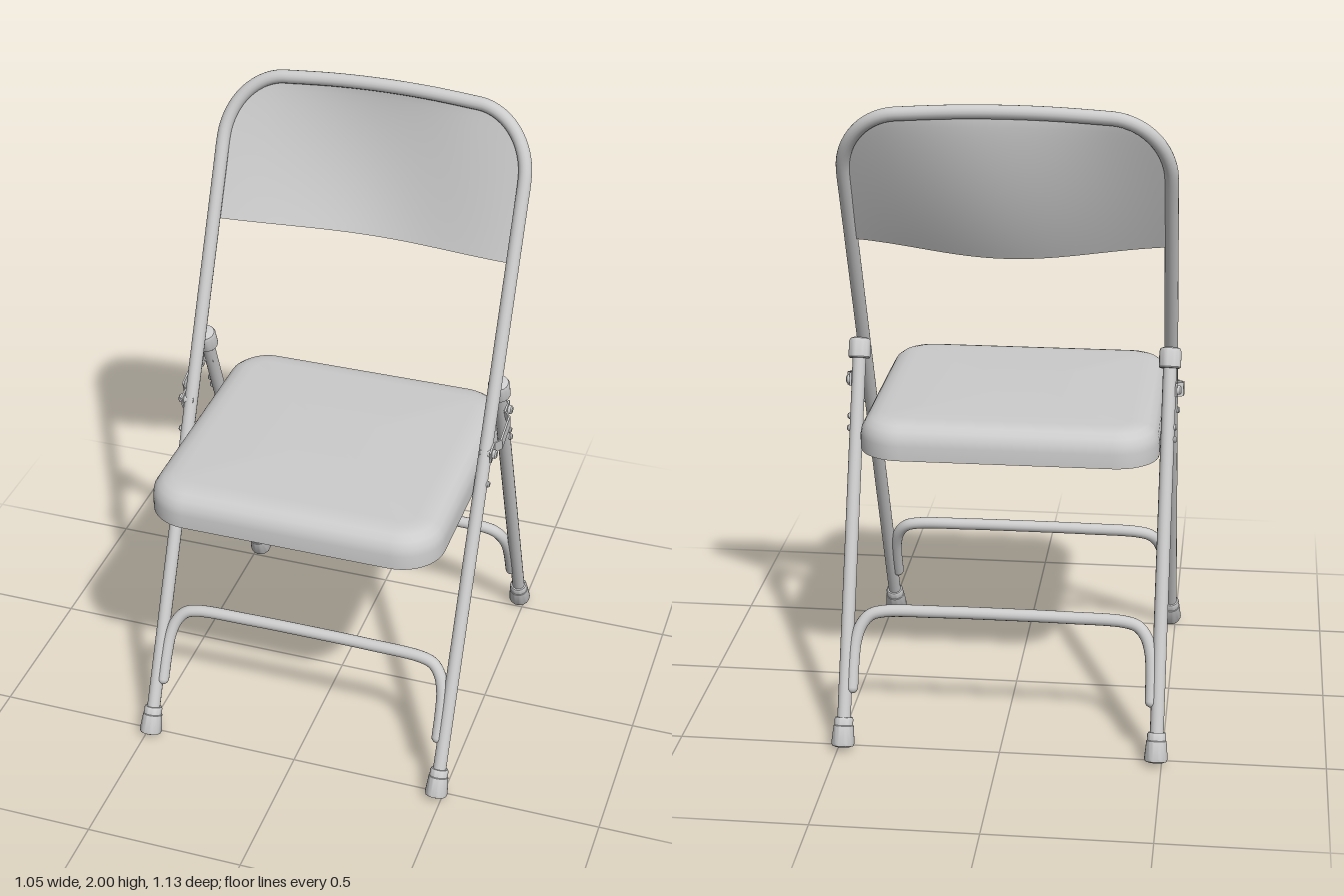
import * as THREE from 'three';
import { toCreasedNormals } from 'three/addons/utils/BufferGeometryUtils.js';

const V = (x, y, z) => new THREE.Vector3(x, y, z);
const material = new THREE.MeshStandardMaterial({ color: 0xcccccc });
const sheetMaterial = new THREE.MeshStandardMaterial({ color: 0xcccccc, side: THREE.DoubleSide });

const LEG_X = 0.483, TUBE = 0.021;
// Slanted leg lines in side profile: z for a given height
const frontZ = (y) => 0.53 - 0.4658 * (y - 0.02);
const backZ = (y) => -0.532 + 0.396 * (y - 0.02);

function add(parent, name, geometry, mat = material) {
  const mesh = new THREE.Mesh(geometry, mat);
  mesh.name = name;
  parent.add(mesh);
  return mesh;
}

// Stand a y-up mesh at a point, pointing towards another
function aim(mesh, from, to) {
  mesh.position.copy(from);
  mesh.quaternion.setFromUnitVectors(V(0, 1, 0), to.clone().sub(from).normalize());
}

function tube(points, radius, segments) {
  const curve = new THREE.CatmullRomCurve3(points, false, 'centripetal');
  return new THREE.TubeGeometry(curve, segments, radius, 16);
}

function lathe(profile) {
  const pts = profile.map(([r, y]) => new THREE.Vector2(r, y));
  return toCreasedNormals(new THREE.LatheGeometry(pts, 28), 0.6);
}

// Height of the bent top of the back frame
function frameTop(x) {
  const a = Math.abs(x);
  if (a < 0.295) return 1.979 - 0.012 * (a / 0.295) ** 2;
  return 1.77 + 0.197 * Math.sqrt(Math.max(0, 1 - ((a - 0.295) / 0.188) ** 2));
}

// Front legs and back frame as one bent tube
function frameGeometry() {
  const half = [];
  for (const y of [0.04, 0.6, 1.2, 1.6, 1.7]) half.push([LEG_X, y]);
  for (let i = 0; i <= 10; i++) {
    const x = 0.295 + 0.188 * Math.cos((i / 10) * Math.PI / 2);
    half.push([x, frameTop(x)]);
  }
  half.push([0.15, frameTop(0.15)]);
  const all = [...half, [0, frameTop(0)], ...half.slice().reverse().map(([x, y]) => [-x, y])];
  return tube(all.map(([x, y]) => V(x, y, frontZ(y))), TUBE, 260);
}

// Backrest sheet, dished backwards towards its lower edge
function backrestGeometry() {
  const g = new THREE.PlaneGeometry(2, 1, 48, 20);
  const p = g.attributes.position;
  for (let i = 0; i < p.count; i++) {
    const u = p.getX(i), x = u * 0.47;
    const wave = 0.65 * (1 + Math.cos(Math.PI * u)) / 2 + 0.35 * (1 - u * u);
    const s = 0.5 - p.getY(i);
    const top = frameTop(x), bottom = 1.542 - 0.026 * wave;
    const y = top + (bottom - top) * s;
    const dish = (0.01 + 0.096 * wave) * Math.sin(s * Math.PI / 2) ** 0.8;
    p.setXYZ(i, x, y, frontZ(y) - dish);
  }
  g.computeVertexNormals();
  return g;
}

// Rounded rectangle loop of the seat, pulled in by an inset
function seatLoop(inset, y) {
  const r = Math.max(0.135 - inset, 0.02), hx = 0.461 - inset, hz = 0.452 - inset;
  const pts = [];
  [[1, 1], [-1, 1], [-1, -1], [1, -1]].forEach(([sx, sz], q) => {
    for (let k = 0; k <= 10; k++) {
      const a = (q + k / 10) * Math.PI / 2;
      pts.push(V(sx * (hx - r) + r * Math.cos(a), y, 0.108 + sz * (hz - r) + r * Math.sin(a)));
    }
  });
  return pts;
}

// Seat pan: rounded top, thin rim and stepped, recessed underside
function seatGeometry() {
  const rows = [[0.09, 1.0], [0.06, 0.998], [0.035, 0.991], [0.016, 0.977], [0.004, 0.957],
    [0, 0.935], [0, 0.89], [0.01, 0.89], [0.01, 0.922], [0.045, 0.922], [0.045, 0.953]]
    .map(([inset, y]) => seatLoop(inset, y));
  const n = rows[0].length, verts = [];
  const tri = (...c) => c.forEach((v) => verts.push(v.x, v.y, v.z));
  const topMid = V(0, 1.0, 0.108), lowMid = V(0, 0.953, 0.108);
  const last = rows[rows.length - 1];
  for (let j = 0; j < n; j++) {
    const k = (j + 1) % n;
    tri(topMid, rows[0][k], rows[0][j]);
    for (let i = 0; i < rows.length - 1; i++) {
      const a = rows[i], b = rows[i + 1];
      tri(a[j], a[k], b[j]);
      tri(a[k], b[k], b[j]);
    }
    tri(last[j], last[k], lowMid);
  }
  const g = new THREE.BufferGeometry();
  g.setAttribute('position', new THREE.Float32BufferAttribute(verts, 3));
  return toCreasedNormals(g, 0.7);
}

// Arched brace between a pair of legs, lying in their plane
function addBrace(parent, name, legZ) {
  const half = [[0.462, 0.185], [0.461, 0.26], [0.456, 0.32], [0.441, 0.365], [0.415, 0.394],
    [0.375, 0.406], [0.2, 0.411]];
  const all = [...half, [0, 0.412], ...half.slice().reverse().map(([x, y]) => [-x, y])];
  const brace = new THREE.Group();
  brace.name = name;
  parent.add(brace);
  add(brace, 'braceBar', tube(all.map(([x, y]) => V(x, y, legZ(y))), 0.019, 140));
  for (const s of [-1, 1]) {
    add(brace, 'braceEnd', new THREE.SphereGeometry(0.019, 16, 10)).position.set(s * 0.462, 0.185, legZ(0.185));
  }
}

// Bent strap linking front and back leg
function addStrap(parent, side) {
  const a = V(side * 0.5, 1.02, 0.07), b = V(side * 0.5, 1.07, -0.112);
  const u = b.clone().sub(a), len = u.length();
  u.normalize();
  const w = V(side, 0, 0), d = u.clone().cross(w);
  const path = [[-0.02, 0.002], [0.025, 0.002], [0.045, 0.02], [len - 0.045, 0.02],
    [len - 0.025, 0.002], [len + 0.02, 0.002]];
  const outline = [...path, ...path.slice().reverse().map(([p, q]) => [p, q + 0.006])];
  const shape = new THREE.Shape(outline.map(([p, q]) => new THREE.Vector2(p, q)));
  const geo = new THREE.ExtrudeGeometry(shape, { depth: 0.042, bevelEnabled: false });
  geo.translate(0, 0, -0.021);
  const strap = add(parent, 'linkStrap', geo);
  strap.quaternion.setFromRotationMatrix(new THREE.Matrix4().makeBasis(u, w, d));
  strap.position.copy(a);
}

export function createModel() {
  const chair = new THREE.Group();
  chair.name = 'foldingChair';

  add(chair, 'frontFrame', frameGeometry());
  add(chair, 'backrest', backrestGeometry(), sheetMaterial);
  add(chair, 'seat', seatGeometry());
  addBrace(chair, 'frontBrace', frontZ);
  addBrace(chair, 'backBrace', backZ);

  const footProfile = [[0, -0.003], [0.022, -0.002], [0.033, 0.002], [0.036, 0.01], [0.031, 0.064],
    [0.029, 0.066], [0.029, 0.084], [0.026, 0.09], [0.018, 0.09]];
  const capProfile = [[0.018, 0], [0.031, 0], [0.034, 0.004], [0.034, 0.052], [0.03, 0.061],
    [0.02, 0.065], [0, 0.066]];

  for (const side of [-1, 1]) {
    const half = new THREE.Group();
    half.name = side > 0 ? 'leftSide' : 'rightSide';
    chair.add(half);
    const x = side * LEG_X;

    // Back leg with its top cap
    const low = V(x, 0.03, backZ(0.03)), high = V(x, 1.17, backZ(1.17));
    const len = low.distanceTo(high);
    const leg = add(half, 'backLeg', new THREE.CylinderGeometry(TUBE, TUBE, len, 16).translate(0, len / 2, 0));
    aim(leg, low, high);
    aim(add(half, 'legCap', lathe(capProfile)), V(x, 1.133, backZ(1.133)), V(x, 2, backZ(2)));

    // Rubber feet
    for (const [name, legZ] of [['frontFoot', frontZ], ['backFoot', backZ]]) {
      aim(add(half, name, lathe(footProfile)), V(x, 0.015, legZ(0.015)), V(x, 1, legZ(1)));
    }

    // Linkage rivets, then the smaller seat rivets
    addStrap(half, side);
    const rivets = [[1.02, 0.07, 0.014, 0.521], [1.07, -0.112, 0.014, 0.521], [0.93, frontZ(0.93), 0.01, 0.511],
      [0.965, backZ(0.965), 0.01, 0.511], [0.93, backZ(0.93), 0.01, 0.511]];
    for (const [y, z, r, end] of rivets) {
      const h = end - 0.47;
      const rivet = add(half, 'rivet', lathe([[0, 0], [r, 0], [r, h - 0.004], [r * 0.7, h], [0, h]]));
      aim(rivet, V(side * 0.47, y, z), V(side, y, z));
    }
  }
  return chair;
}
